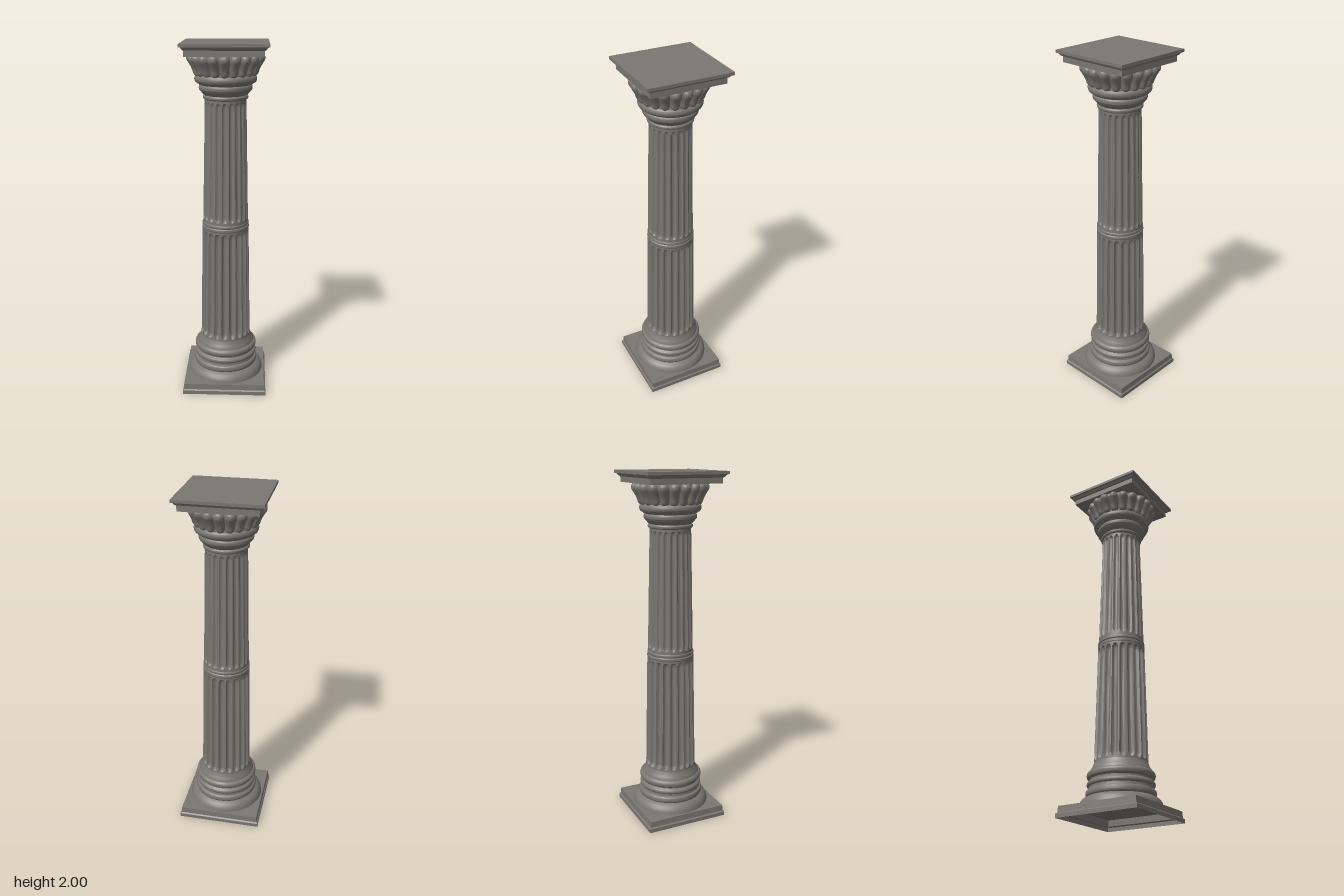
import * as THREE from 'three';
import { mergeVertices, toCreasedNormals } from 'three/addons/utils/BufferGeometryUtils.js';

const stone = new THREE.MeshStandardMaterial({ color: 0x7b7772, side: THREE.DoubleSide });
stone.name = 'grey stone';

const FLUTES = 20;
const vectors = (points) => points.map(([r, y]) => new THREE.Vector2(r, y));

// Sharp edges where faces meet steeply, smooth elsewhere
function finish(geometry, crease) {
  geometry.deleteAttribute('uv');
  geometry.deleteAttribute('normal');
  return toCreasedNormals(mergeVertices(geometry, 1e-5), crease);
}

function addMesh(group, name, geometry) {
  const mesh = new THREE.Mesh(geometry, stone);
  mesh.name = name;
  group.add(mesh);
}

// Round moulding turned from a profile of [radius, height]
const turned = (points) => finish(new THREE.LatheGeometry(vectors(points), 64), 0.6);

// Square slab with a moulded edge, from [half width, height]
function square(points) {
  const profile = vectors(points.map(([w, y]) => [w * Math.SQRT2, y]));
  return finish(new THREE.LatheGeometry(profile, 4, Math.PI / 4), 0.2);
}

// Half-torus bulge as profile points
function bulge(r, y0, y1, out, steps = 8) {
  return Array.from({ length: steps + 1 }, (_, i) => {
    const a = (i / steps) * Math.PI;
    return [r + out * Math.sin(a), y0 + (y1 - y0) * (1 - Math.cos(a)) / 2];
  });
}

// Turned surface with round-ended channels (depth > 0) or ribs (depth < 0)
function fluted({ y0, y1, radius, start, end, depth, width, cap }) {
  const heights = new Set([y0, y1]);
  for (let i = 0; i <= 6; i++) {
    const t = cap * (1 - Math.cos((i / 6) * Math.PI / 2));
    heights.add(start + t).add(end - t);
  }
  for (let i = 1; i < 8; i++) heights.add(start + cap + (end - start - 2 * cap) * i / 8);
  const rows = [...heights].sort((a, b) => a - b);
  const geometry = new THREE.LatheGeometry(vectors(rows.map((y) => [radius(y), y])), FLUTES * 12);
  const p = geometry.attributes.position;
  for (let i = 0; i < p.count; i++) {
    const x = p.getX(i), y = p.getY(i), z = p.getZ(i);
    const turn = Math.atan2(x, z) / (2 * Math.PI) * FLUTES;
    const u = (turn - Math.round(turn)) * 2;
    const edge = Math.min(y - start, end - y);
    const open = edge <= 0 ? 0 : Math.sqrt(1 - (1 - Math.min(edge / cap, 1)) ** 2);
    const w = width * open;
    if (w < 0.01 || Math.abs(u) >= w) continue;
    const r = radius(y);
    const k = (r - depth * open * Math.sqrt(1 - (u / w) ** 2)) / r;
    p.setXYZ(i, x * k, y, z * k);
  }
  return finish(geometry, 0.7);
}

const between = (ya, ra, yb, rb) => (y) => ra + (rb - ra) * (y - ya) / (yb - ya);

export function createModel() {
  const column = new THREE.Group();
  column.name = 'column';

  // Plinth, hollow underneath
  addMesh(column, 'plinth', square([
    [0.242, 0], [0.242, 0.022], [0.235, 0.028], [0.233, 0.062], [0, 0.062],
  ]));

  // Stacked round mouldings of the base
  addMesh(column, 'base', turned([
    [0.222, 0.062], [0.22, 0.075], [0.214, 0.09], [0.204, 0.102], [0.192, 0.108], [0.186, 0.112],
    ...bulge(0.18, 0.114, 0.15, 0.008),
    [0.174, 0.153], [0.172, 0.165],
    ...bulge(0.172, 0.168, 0.195, 0.01),
    [0.167, 0.2], [0.167, 0.206],
    ...bulge(0.167, 0.208, 0.25, 0.016),
    [0.166, 0.256], [0.158, 0.268], [0.15, 0.285], [0.145, 0.3],
  ]));

  // Fluted shaft in two drums
  addMesh(column, 'lowerShaft', fluted({
    y0: 0.295, y1: 0.965, radius: between(0.295, 0.146, 0.965, 0.133),
    start: 0.305, end: 0.955, depth: 0.018, width: 0.74, cap: 0.03,
  }));
  addMesh(column, 'middleRing', turned([
    [0.13, 0.962], ...bulge(0.131, 0.965, 0.983, 0.003), [0.128, 0.985],
    ...bulge(0.129, 0.987, 1.003, 0.004), [0.128, 1.008],
  ]));
  addMesh(column, 'upperShaft', fluted({
    y0: 1.005, y1: 1.7, radius: between(1.005, 0.129, 1.7, 0.114),
    start: 1.02, end: 1.685, depth: 0.012, width: 0.7, cap: 0.025,
  }));

  // Neck and rounded mouldings under the leaves
  addMesh(column, 'neck', turned([
    [0.113, 1.695], ...bulge(0.116, 1.698, 1.72, 0.008),
    [0.122, 1.724], [0.13, 1.733], [0.138, 1.742],
    ...bulge(0.139, 1.745, 1.775, 0.007),
    [0.148, 1.779], [0.154, 1.784],
    ...bulge(0.155, 1.786, 1.828, 0.015),
    [0.15, 1.835],
  ]));

  // Flaring capital ringed with rounded ribs
  const bell = (y) => 0.156 + 0.034 * Math.min(1, Math.max(0, (y - 1.84) / 0.065)) ** 1.4;
  addMesh(column, 'capitalLeaves', fluted({
    y0: 1.815, y1: 1.945, radius: bell,
    start: 1.822, end: 1.94, depth: -0.022, width: 0.85, cap: 0.022,
  }));

  // Square abacus with a stepped edge
  addMesh(column, 'abacus', square([
    [0, 1.936], [0.207, 1.936], [0.207, 1.966], [0.214, 1.97], [0.222, 1.982],
    [0.232, 1.984], [0.232, 2], [0, 2],
  ]));

  return column;
}
